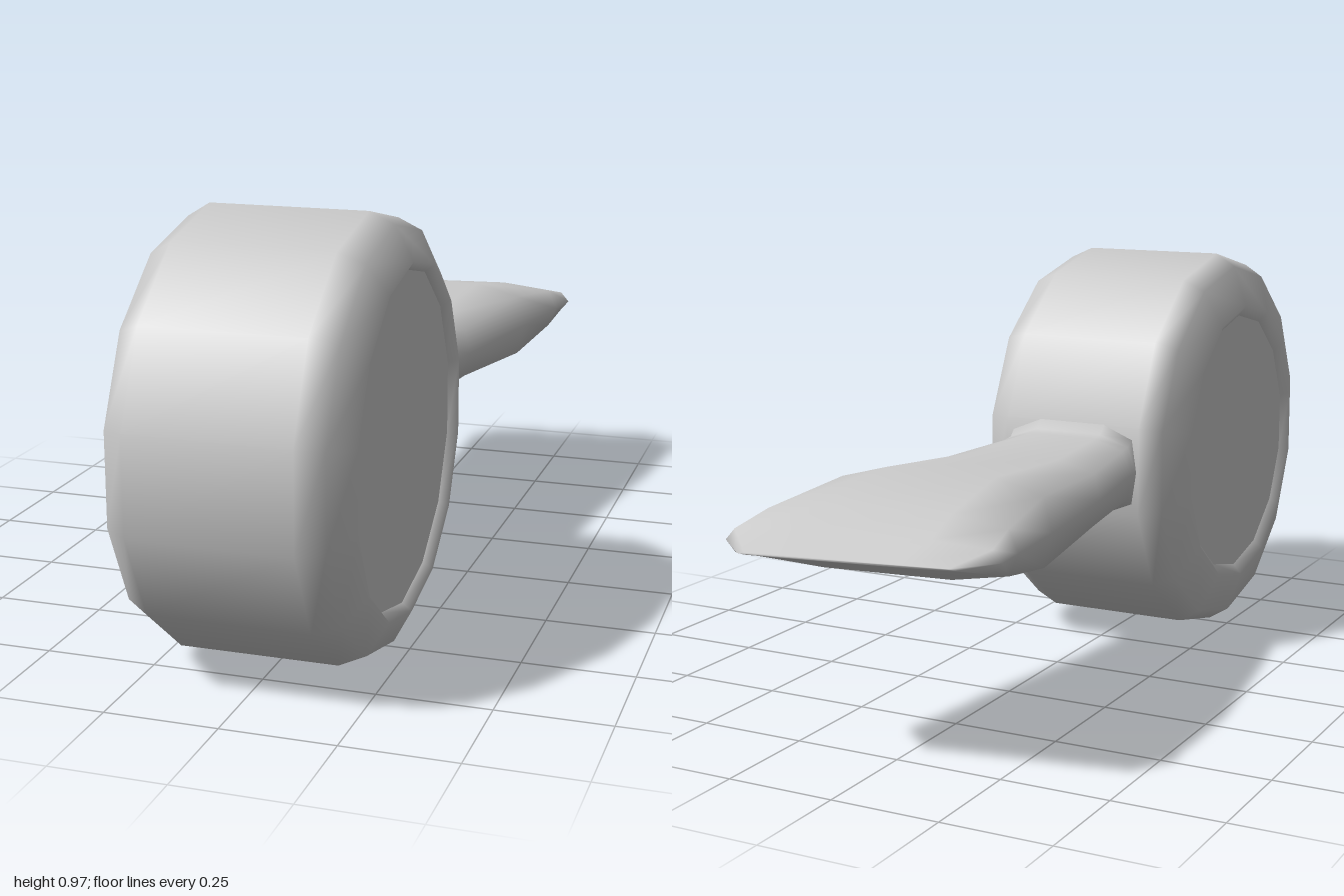
import * as THREE from 'three';

const grey = new THREE.MeshStandardMaterial({ color: 0xcccccc });
const SIDES = 14;
const CENTRE_Y = 0.486, CENTRE_Z = 0.528;

function addMesh(parent, name, geometry) {
  const mesh = new THREE.Mesh(geometry, grey);
  mesh.name = name;
  parent.add(mesh);
  return mesh;
}

// Skin through closed rings of equal length, with both ends capped
function loft(rings) {
  const n = rings[0].length;
  const index = [];
  for (let i = 0; i < rings.length - 1; i++) {
    for (let j = 0; j < n; j++) {
      const a = i * n + j, b = i * n + (j + 1) % n;
      index.push(a, a + n, b, b, a + n, b + n);
    }
  }
  const last = (rings.length - 1) * n;
  for (let j = 1; j < n - 1; j++) {
    index.push(0, j, j + 1);
    index.push(last, last + j + 1, last + j);
  }
  const g = new THREE.BufferGeometry();
  g.setAttribute('position', new THREE.Float32BufferAttribute(rings.flat(2), 3));
  g.setIndex(index);
  g.computeVertexNormals();
  return g;
}

export function createModel() {
  const model = new THREE.Group();
  model.name = 'drumWithPaddleHandle';

  // Drum: rounded 14-sided barrel lying along x, its rims turned slightly inwards
  const drum = new THREE.Group();
  drum.name = 'drum';
  drum.position.set(0, CENTRE_Y, CENTRE_Z);
  model.add(drum);

  const profile = [
    [0.33, -0.255], [0.355, -0.275], [0.455, -0.24], [0.486, -0.19],
    [0.486, 0.165], [0.46, 0.222], [0.385, 0.262], [0.368, 0.24],
  ].map(([r, x]) => new THREE.Vector2(r, x));
  const barrel = new THREE.LatheGeometry(profile, SIDES, Math.PI / 2);
  barrel.rotateZ(-Math.PI / 2);
  addMesh(drum, 'drumBarrel', barrel);

  // Flat end faces, sunk a little behind the rims
  for (const [name, x, radius, side] of [['leftFace', 0.24, 0.368, 1], ['rightFace', -0.255, 0.33, -1]]) {
    const face = new THREE.CircleGeometry(radius, SIDES);
    face.rotateZ(Math.PI / 2);
    face.rotateY(side * Math.PI / 2);
    face.translate(x, 0, 0);
    addMesh(drum, name, face);
  }

  // Handle: flat section with narrow pointed edges, widening and thinning to the end
  const section = [
    [1, 0], [0.93, 0.72], [0.5, 1], [-0.5, 1], [-0.93, 0.72],
    [-1, 0], [-0.93, -0.72], [-0.5, -1], [0.5, -1], [0.93, -0.72],
  ];
  // x and z of the right edge, x and z of the left edge, half thickness
  const stations = [
    [-0.185, 0.15, 0.16, 0.15, 0.11],
    [-0.185, 0.055, 0.16, 0.055, 0.11],
    [-0.185, 0.03, 0.155, 0.03, 0.09],
    [-0.19, -0.01, 0.152, -0.01, 0.087],
    [-0.235, -0.25, 0.185, -0.25, 0.083],
    [-0.278, -0.57, 0.245, -0.59, 0.107],
    [-0.295, -0.75, 0.282, -0.82, 0.068],
    [-0.303, -0.83, 0.297, -0.92, 0.035],
    [-0.25, -0.92, 0.21, -1.0, 0.003],
  ];
  const rings = stations.map(([x0, z0, x1, z1, h]) => section.map(([u, v]) => {
    const t = (u + 1) / 2;
    return [x0 + (x1 - x0) * t, CENTRE_Y + h * v, z0 + (z1 - z0) * t];
  }));
  addMesh(model, 'handle', loft(rings));

  return model;
}
